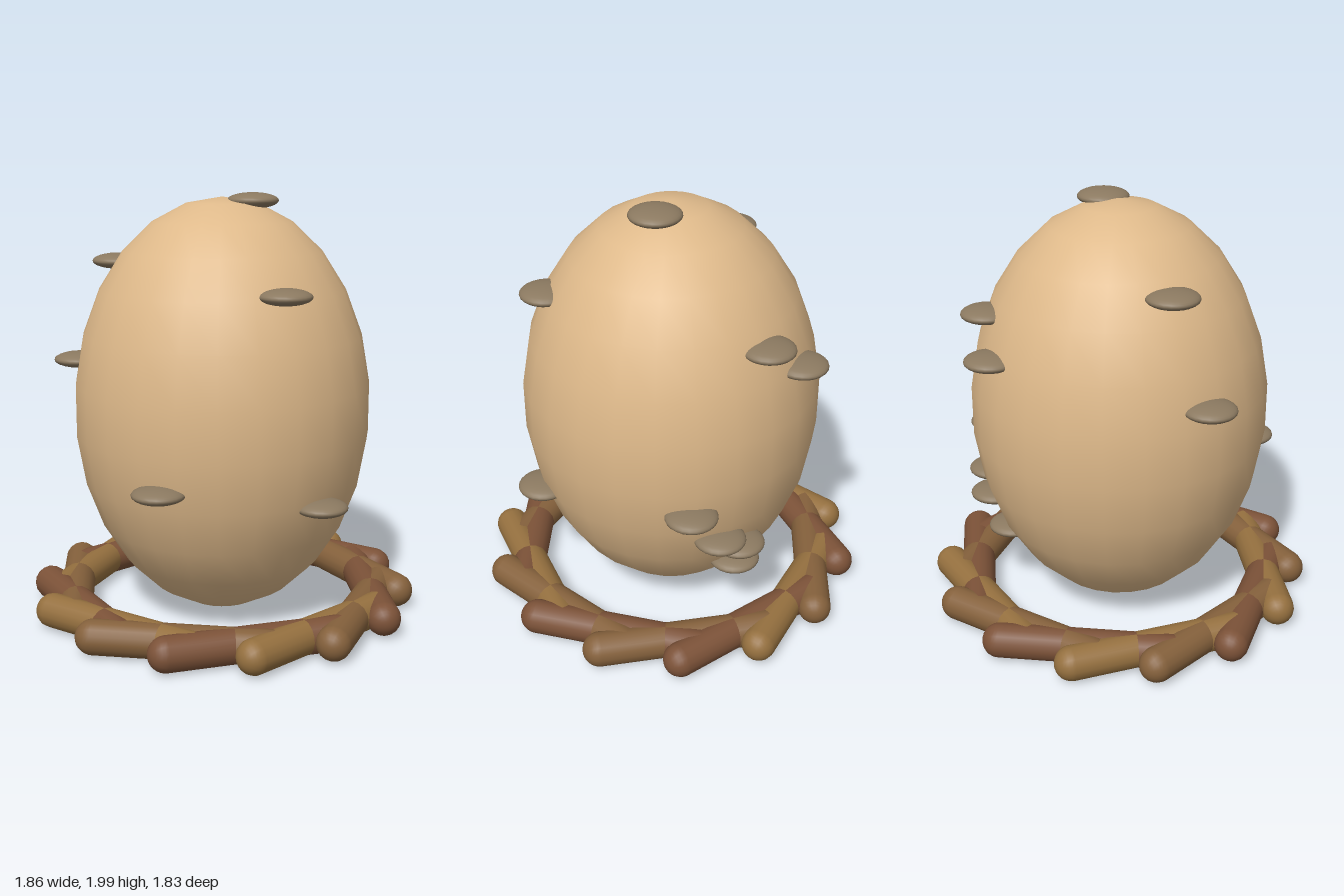
import * as THREE from 'three';

const material = (color) => new THREE.MeshStandardMaterial({ color });

export function createModel() {
  const model = new THREE.Group();
  model.name = 'eggInNest';

  // Egg: an upright ellipsoid
  const radius = 0.7, halfHeight = 0.98, middle = 1.0;
  const egg = new THREE.Mesh(new THREE.SphereGeometry(radius, 24, 13), material(0xdeb98a));
  egg.name = 'egg';
  egg.scale.y = halfHeight / radius;
  egg.position.y = middle;
  model.add(egg);

  // Spots: flat discs centred on the shell, given as [x, y, z]
  const spots = new THREE.Group();
  spots.name = 'spots';
  const spotGeometry = new THREE.SphereGeometry(0.12, 24, 16).scale(1, 0.31, 1);
  const spotMaterial = material(0x8b7960);
  [
    [0.14, 1.963, 0.02], [0.28, 1.575, 0.49], [-0.26, 0.735, 0.62], [0.45, 0.64, 0.475],
    [-0.5, 1.675, -0.12], [-0.685, 1.21, -0.06], [0.275, 1.49, -0.545], [0.1, 1.34, -0.65],
    [0.6, 0.775, -0.32], [0.48, 0.59, -0.415], [0.38, 0.515, -0.475], [0.3, 0.35, -0.43],
  ].forEach((p) => {
    const spot = new THREE.Mesh(spotGeometry, spotMaterial);
    spot.name = 'spot';
    spot.position.set(...p);
    spots.add(spot);
  });
  model.add(spots);

  // Nest: a ring of overlapping twigs, each turned slightly off the tangent
  const nest = new THREE.Group();
  nest.name = 'nest';
  const twigGeometry = new THREE.CapsuleGeometry(0.08, 0.8, 8, 16).rotateZ(Math.PI / 2);
  const barks = [material(0x7c5238), material(0x85613c), material(0x95703f)];
  const barkOrder = [0, 1, 2, 0, 1, 0, 1, 2, 0, 1, 2, 0, 1, 2];
  const count = barkOrder.length;
  const ringRadius = 0.71;
  for (let i = 0; i < count; i++) {
    // Angles run from +x towards +z
    const angle = ((i - 5) / count) * Math.PI * 2;
    const heading = angle + Math.PI / 2 - THREE.MathUtils.degToRad(5.6);
    const twig = new THREE.Mesh(twigGeometry, barks[barkOrder[i]]);
    twig.name = 'twig';
    twig.position.set(ringRadius * Math.cos(angle), 0.09, ringRadius * Math.sin(angle));
    twig.rotation.y = -heading;
    nest.add(twig);
  }
  model.add(nest);
  return model;
}
